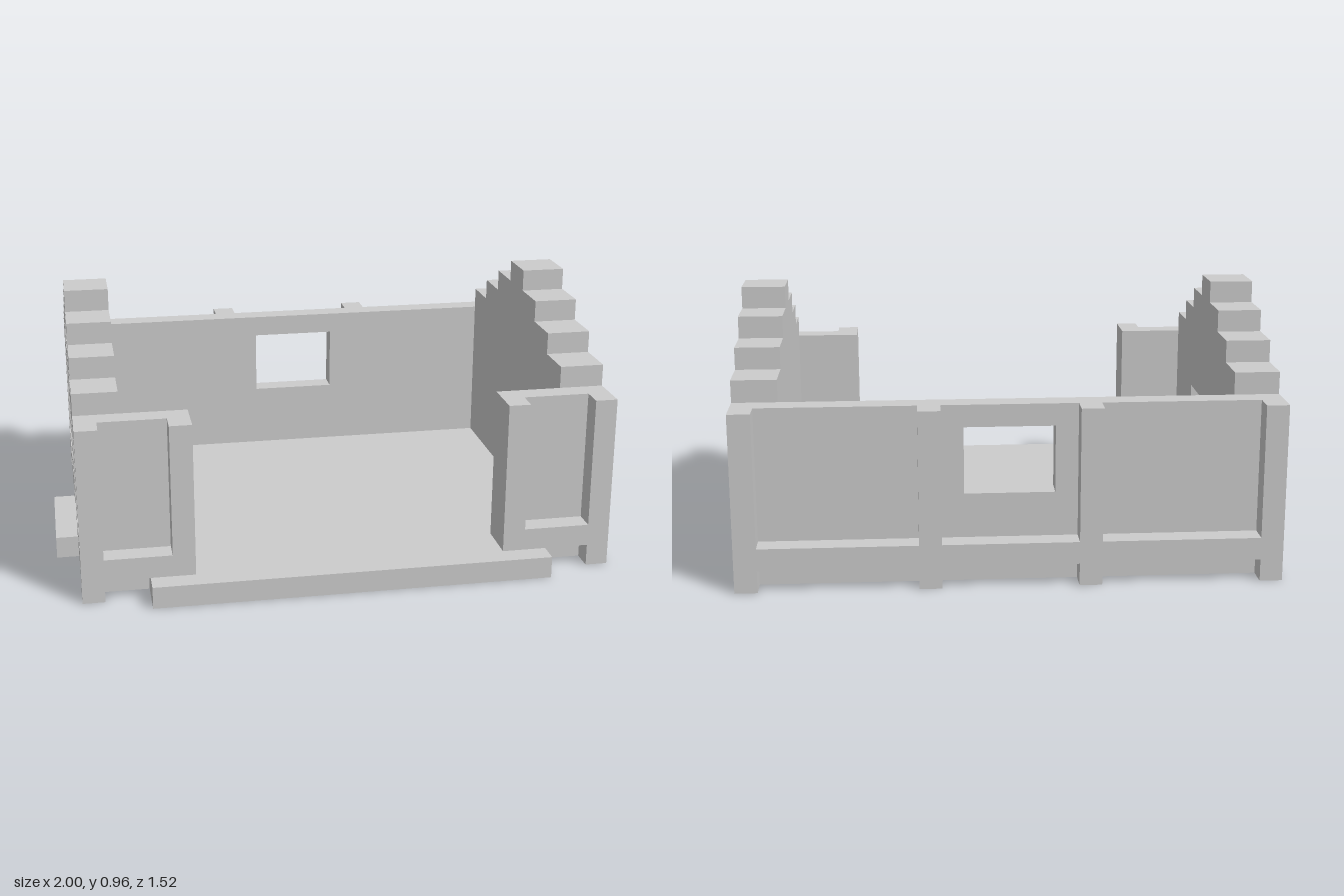
import * as THREE from 'three';

const material = new THREE.MeshStandardMaterial({ color: 0xcccccc, flatShading: true });
const T = 0.08; // thickness of one wall layer, also one step

// Box given by its lower and upper corners
function box(parent, name, [x0, y0, z0], [x1, y1, z1]) {
  const mesh = new THREE.Mesh(new THREE.BoxGeometry(x1 - x0, y1 - y0, z1 - z0), material);
  mesh.position.set((x0 + x1) / 2, (y0 + y1) / 2, (z0 + z1) / 2);
  mesh.name = name;
  parent.add(mesh);
}

const points = (list) => list.map(([a, b]) => new THREE.Vector2(a, b));
const rect = (a0, a1, y0, y1) => [[a0, y0], [a1, y0], [a1, y1], [a0, y1]];

// Flat layer of thickness T with holes
function layer(outline, holes) {
  const shape = new THREE.Shape(points(outline));
  shape.holes = holes.map((h) => new THREE.Path(points(h)));
  return new THREE.ExtrudeGeometry(shape, { depth: T, bevelEnabled: false });
}

// Side layer: the shape lies in the z-y plane, from x0 to x0 + T
function sideLayer(parent, name, x0, outline, holes = []) {
  const mesh = new THREE.Mesh(layer(outline, holes).rotateY(-Math.PI / 2), material);
  mesh.position.x = x0 + T;
  mesh.name = name;
  parent.add(mesh);
}

// Wall outline with a stepped gable; gaps are [z0, z1, top] cut out of the bottom edge
function gableOutline(z0, z1, bottom, gaps) {
  const outline = [[z0, bottom]];
  for (const [a, b, top] of gaps) outline.push([a, bottom], [a, top], [b, top], [b, bottom]);
  outline.push([z1, bottom], [z1, 0.64]);
  const centre = -0.04;
  const halves = [0.56, 0.4, 0.24, 0.08];
  halves.forEach((h, i) => outline.push([centre + h, 0.64 + i * T], [centre + h, 0.72 + i * T]));
  [...halves].reverse().forEach((h, i) => outline.push([centre - h, 0.96 - i * T], [centre - h, 0.88 - i * T]));
  outline.push([z0, 0.64]);
  return outline;
}

// Recesses in the gable: two slots and a cross
const gableRecesses = [
  rect(0.12, 0.36, 0.64, 0.72),
  rect(-0.44, -0.2, 0.64, 0.72),
  [[-0.12, 0.64], [0.04, 0.64], [0.04, 0.72], [0.12, 0.72], [0.12, 0.8], [0.04, 0.8],
    [0.04, 0.88], [-0.12, 0.88], [-0.12, 0.8], [-0.2, 0.8], [-0.2, 0.72], [-0.12, 0.72]],
];

// Timber frame outside, plain wall inside
function sideWall(name, outerX, innerX, bays, door) {
  const wall = new THREE.Group();
  wall.name = name;
  const panels = bays.map(([a, b]) => rect(a, b, 0.16, 0.56));
  if (door) panels.push(rect(door[0], door[1], 0.08, 0.56));
  sideLayer(wall, 'sideFrame', outerX,
    gableOutline(-0.76, 0.68, 0, bays.map(([a, b]) => [a, b, T])), [...panels, ...gableRecesses]);
  sideLayer(wall, 'sidePanel', innerX,
    gableOutline(-0.68, 0.6, T, door ? [[door[0], door[1], 0.48]] : []));
  return wall;
}

export function createModel() {
  const model = new THREE.Group();
  model.name = 'openHouse';

  // Floor with its front edge and the door step
  box(model, 'floor', [-0.84, 0, -0.68], [0.92, T, 0.6]);
  box(model, 'frontSill', [-0.68, 0, 0.6], [0.76, T, 0.76]);
  box(model, 'doorStep', [-1, 0, -0.12], [-0.92, T, 0.28]);

  // Gabled side walls, the right one with a doorway
  model.add(sideWall('leftWall', 0.92, 0.84, [[-0.68, -0.2], [-0.12, 0.04], [0.12, 0.6]]));
  model.add(sideWall('rightWall', -0.92, -0.84, [[-0.68, -0.12], [0.28, 0.6]], [-0.04, 0.2]));

  // Back wall with a window, posts and a lower rail
  const back = new THREE.Group();
  back.name = 'backWall';
  const panel = new THREE.Mesh(
    layer(rect(-0.84, 0.92, T, 0.64), [rect(-0.12, 0.2, 0.32, 0.56)]), material);
  panel.position.z = -0.68;
  panel.name = 'backPanel';
  back.add(panel);
  for (const x of [-0.28, 0.28]) box(back, 'backPost', [x, 0, -0.76], [x + T, 0.64, -0.68]);
  for (const [a, b] of [[-0.84, -0.28], [-0.2, 0.28], [0.36, 0.92]]) {
    box(back, 'backRail', [a, T, -0.76], [b, 0.16, -0.68]);
  }
  model.add(back);

  // Short front walls either side of the open front, mirrored about x = 0.04
  for (const s of [-1, 1]) {
    const wing = new THREE.Group();
    wing.name = s < 0 ? 'rightFrontWall' : 'leftFrontWall';
    const part = (name, a, b, y0, z0, z1, y1) => {
      const [x0, x1] = [0.04 + s * a, 0.04 + s * b].sort((p, q) => p - q);
      box(wing, name, [x0, y0, z0], [x1, y1, z1]);
    };
    part('frontPanel', 0.56, 0.88, T, 0.52, 0.6, 0.64);
    part('frontPost', 0.56, 0.64, T, 0.6, 0.68, 0.64);
    part('frontRail', 0.64, 0.88, T, 0.6, 0.68, 0.16);
    model.add(wing);
  }
  return model;
}
